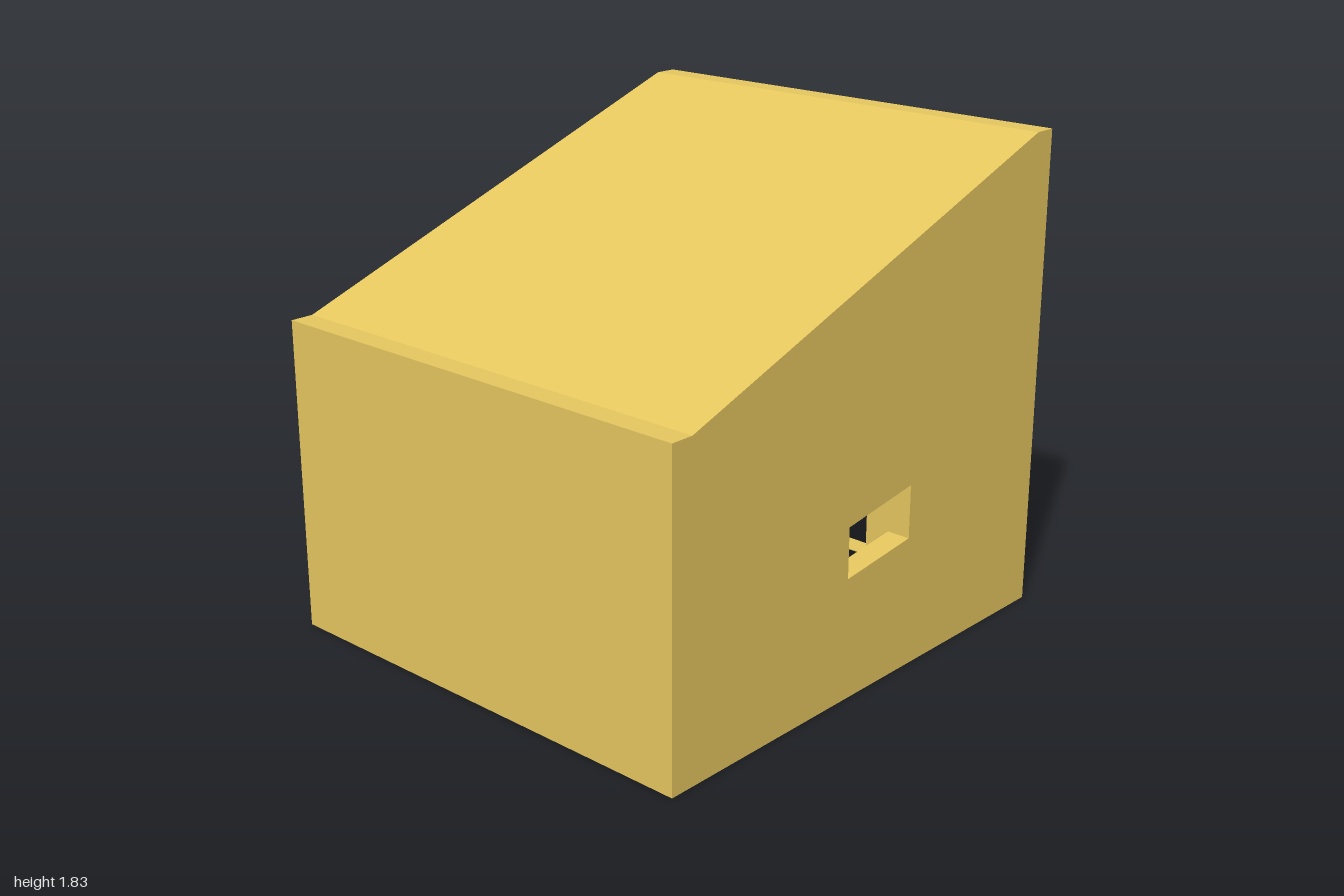
import * as THREE from 'three';

const W = 0.915;      // half width (x)
const D = 1;          // half depth (z)
const T = 0.09;       // wall thickness
const LOW = 1.19;     // front wall height
const HIGH = 1.83;    // back wall height
const ROOF = 0.085;   // vertical roof thickness

const material = new THREE.MeshStandardMaterial({ color: 0xe6c75f, flatShading: true });

const shapeOf = (points) => new THREE.Shape(points.map(([x, y]) => new THREE.Vector2(x, y)));
const holeOf = (points) => new THREE.Path(points.map(([x, y]) => new THREE.Vector2(x, y)));
const rect = (x0, x1, y0, y1) => [[x0, y0], [x1, y0], [x1, y1], [x0, y1]];
const extrude = (shape, depth) => new THREE.ExtrudeGeometry(shape, { depth, bevelEnabled: false });

// Extrudes a side profile, drawn as (-z, y), along x from x0
function extrudeAlongX(shape, x0, depth) {
  return extrude(shape, depth).rotateY(Math.PI / 2).translate(x0, 0, 0);
}

export function createModel() {
  const house = new THREE.Group();
  house.name = 'house';
  const add = (name, geometry) => {
    const mesh = new THREE.Mesh(geometry, material);
    mesh.name = name;
    house.add(mesh);
  };

  // Side walls: sloping top with a short flat at each end
  const inner = D - T;
  const profile = [[-D, 0], [D, 0], [D, HIGH], [inner, HIGH], [-inner, LOW], [-D, LOW]];
  add('rightSideWall', extrudeAlongX(shapeOf(profile), -W, T));

  // Slanted slot window in the +x wall
  const slotWall = shapeOf(profile);
  slotWall.holes.push(holeOf([[-0.12, 0.455], [0.225, 0.495], [0.225, 0.695], [-0.12, 0.645]]));
  add('leftSideWall', extrudeAlongX(slotWall, W - T, T));

  // Plain low front wall
  const span = 2 * (W - T);
  add('frontWall', new THREE.BoxGeometry(span, LOW, T).translate(0, LOW / 2, D - T / 2));

  // Tall back wall with a doorway on a thin sill and a square window
  const back = shapeOf(rect(-W + T, W - T, 0, HIGH));
  back.holes.push(holeOf(rect(-0.457, 0.228, 0.004, 0.91)));
  back.holes.push(holeOf(rect(0.228, 0.686, 1.14, 1.6)));
  add('backWall', extrude(back, T).translate(0, 0, -D));

  // Sloping roof slab between the walls
  const slab = shapeOf([[-inner, LOW - ROOF], [inner, HIGH - ROOF], [inner, HIGH], [-inner, LOW]]);
  add('roof', extrudeAlongX(slab, -W + T, span));

  return house;
}
